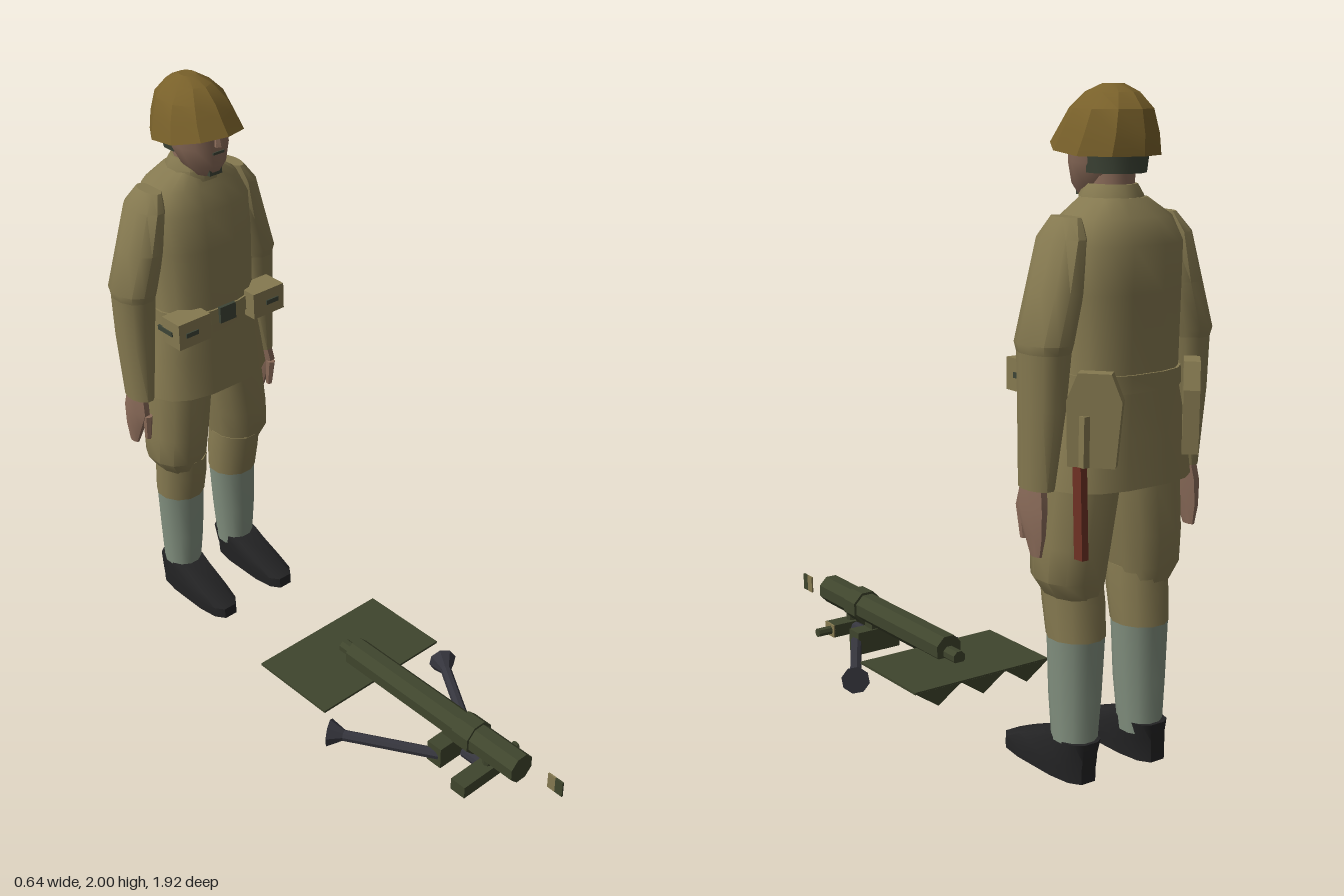
import * as THREE from 'three';
import { toCreasedNormals } from 'three/addons/utils/BufferGeometryUtils.js';
import { ConvexGeometry } from 'three/addons/geometries/ConvexGeometry.js';

const mat = (name, color) => Object.assign(new THREE.MeshStandardMaterial({ color }), { name });

export function createModel() {
  const model = new THREE.Group();
  const cloth = mat('khaki cloth', 0x857950);
  const brown = mat('helmet brown', 0x78602a);
  const skin = mat('skin', 0x8a6b59);
  const dark = mat('dark hair green', 0x3d4436);
  const wrap = mat('leg wrap grey green', 0x82907f);
  const black = mat('shoe black', 0x232324);
  const red = mat('scabbard red', 0x6e3124);
  const green = mat('weapon green', 0x3f452d);
  const steel = mat('bipod steel', 0x35353d);

  const add = (parent, name, geometry, material, x = 0, y = 0, z = 0) => {
    const mesh = new THREE.Mesh(geometry, material);
    mesh.name = name;
    mesh.position.set(x, y, z);
    parent.add(mesh);
    return mesh;
  };
  const box = (parent, name, material, w, h, d, x, y, z) =>
    add(parent, name, new THREE.BoxGeometry(w, h, d), material, x, y, z);

  // Closed skin over rings [y, cx, cz, rx, rz, frontLift]; a low power makes boxy sections
  const loft = (parent, name, material, rings, sides = 12, power = 1, crease = 0.7) => {
    const pos = [], index = [], bend = v => Math.sign(v) * Math.abs(v) ** power;
    for (const [y, cx, cz, rx, rz, lift = 0] of rings) {
      for (let j = 0; j < sides; j++) {
        const a = ((j + 0.5) / sides) * Math.PI * 2, s = Math.sin(a);
        pos.push(cx + rx * bend(Math.cos(a)), y + lift * Math.max(0, s), cz + rz * bend(s));
      }
    }
    const last = rings.length - 1, base = rings.length * sides;
    for (const r of [rings[0], rings[last]]) pos.push(r[1], r[0], r[2]);
    for (let j = 0; j < sides; j++) {
      const k = (j + 1) % sides;
      for (let i = 0; i < last; i++) {
        const a = i * sides + j, b = a + sides, c = (i + 1) * sides + k, d = i * sides + k;
        index.push(a, b, c, a, c, d);
      }
      index.push(base, j, k, base + 1, last * sides + k, last * sides + j);
    }
    const g = new THREE.BufferGeometry();
    g.setAttribute('position', new THREE.Float32BufferAttribute(pos, 3));
    g.setIndex(index);
    return add(parent, name, toCreasedNormals(g, crease), material);
  };

  // Tapered rod from point a to point b
  const rod = (parent, name, material, a, b, ra, rb, sides = 8) => {
    const p = new THREE.Vector3(...a), q = new THREE.Vector3(...b), d = q.clone().sub(p);
    const g = new THREE.CylinderGeometry(rb, ra, d.length(), sides);
    const mesh = add(parent, name, toCreasedNormals(g, 0.5), material);
    mesh.position.copy(p.add(q).multiplyScalar(0.5));
    mesh.quaternion.setFromUnitVectors(new THREE.Vector3(0, 1, 0), d.normalize());
    return mesh;
  };

  const soldier = new THREE.Group();
  soldier.name = 'soldier';
  model.add(soldier);

  // Helmet, head and face
  loft(soldier, 'helmet', brown, [
    [1.812, 0, -0.705, 0.147, 0.163, 0.035], [1.87, 0, -0.72, 0.13, 0.148, 0.02],
    [1.935, 0, -0.728, 0.106, 0.127], [1.978, 0, -0.732, 0.064, 0.085], [2, 0, -0.735, 0.026, 0.034],
  ], 10, 1, 0.45);
  loft(soldier, 'head', skin, [
    [1.695, 0, -0.67, 0.042, 0.05], [1.73, 0, -0.682, 0.07, 0.082],
    [1.79, 0, -0.7, 0.092, 0.105], [1.87, 0, -0.712, 0.098, 0.115],
  ]);
  loft(soldier, 'neck', skin, [[1.66, 0, -0.735, 0.06, 0.065], [1.8, 0, -0.735, 0.06, 0.07]]);
  loft(soldier, 'hair', dark, [[1.765, 0, -0.75, 0.085, 0.085], [1.86, 0, -0.748, 0.097, 0.097]]);
  loft(soldier, 'nose', skin, [
    [1.8, 0, -0.597, 0.017, 0.016], [1.815, 0, -0.598, 0.014, 0.014], [1.86, 0, -0.605, 0.007, 0.01],
  ], 6);
  box(soldier, 'mouth', dark, 0.045, 0.008, 0.008, 0, 1.778, -0.599);
  box(soldier, 'chinBeard', dark, 0.05, 0.022, 0.03, 0, 1.708, -0.63);
  for (const s of [1, -1]) {
    box(soldier, 'eye', dark, 0.038, 0.022, 0.009, s * 0.042, 1.852, -0.604).rotation.y = s * 0.2;
  }

  // Tunic with collar and flared skirt
  loft(soldier, 'tunic', cloth, [
    [0.92, 0, -0.755, 0.236, 0.163], [1.06, 0, -0.755, 0.215, 0.155], [1.2, 0, -0.75, 0.183, 0.15],
    [1.45, 0, -0.75, 0.187, 0.151], [1.58, 0, -0.755, 0.187, 0.146], [1.65, 0, -0.755, 0.158, 0.115],
    [1.7, 0, -0.745, 0.085, 0.085],
  ], 16, 0.75);
  loft(soldier, 'collar', cloth, [
    [1.67, 0, -0.738, 0.092, 0.095], [1.705, 0, -0.735, 0.086, 0.092], [1.735, 0, -0.735, 0.068, 0.076],
  ], 12);

  // Belt, buckle and front pouches
  loft(soldier, 'belt', cloth, [[1.185, 0, -0.75, 0.194, 0.158], [1.235, 0, -0.75, 0.19, 0.157]], 16, 0.75);
  box(soldier, 'buckle', dark, 0.065, 0.058, 0.012, 0, 1.212, -0.59);

  for (const s of [1, -1]) {
    const side = s > 0 ? 'left' : 'right';
    const part = (name, material, rings, ...rest) =>
      loft(soldier, side + name, material, rings.map(([y, x, ...r]) => [y, s * x, ...r]), ...rest);

    box(soldier, side + 'Pouch', cloth, 0.13, 0.092, 0.09, s * 0.157, 1.207, -0.607);
    box(soldier, side + 'PouchStud', dark, 0.05, 0.016, 0.008, s * 0.17, 1.207, -0.561);
    box(soldier, side + 'PouchClip', dark, 0.008, 0.016, 0.075, s * 0.222, 1.207, -0.635);

    // Arm
    part('UpperArm', cloth, [
      [1.3, 0.25, -0.765, 0.066, 0.086], [1.325, 0.25, -0.765, 0.072, 0.093], [1.46, 0.213, -0.76, 0.068, 0.094],
      [1.6, 0.186, -0.755, 0.052, 0.09], [1.655, 0.168, -0.75, 0.026, 0.058],
    ]);
    part('Forearm', cloth, [
      [0.925, 0.262, -0.755, 0.04, 0.064], [1.15, 0.255, -0.765, 0.056, 0.08], [1.32, 0.249, -0.765, 0.067, 0.087],
    ]);
    part('Hand', skin, [
      [0.74, 0.28, -0.78, 0.01, 0.022], [0.8, 0.279, -0.772, 0.018, 0.043],
      [0.875, 0.277, -0.755, 0.026, 0.062], [0.95, 0.27, -0.755, 0.027, 0.046],
    ], 8);
    part('Thumb', skin, [[0.775, 0.27, -0.712, 0.01, 0.012], [0.87, 0.272, -0.703, 0.015, 0.02]], 6);

    // Leg
    part('Breeches', cloth, [
      [0.6, 0.125, -0.745, 0.076, 0.092], [0.65, 0.137, -0.742, 0.098, 0.108], [0.75, 0.13, -0.742, 0.102, 0.12],
      [0.9, 0.112, -0.745, 0.108, 0.122], [0.97, 0.11, -0.745, 0.106, 0.122],
    ], 12, 0.9);
    part('Knee', cloth, [
      [0.475, 0.118, -0.758, 0.084, 0.087], [0.57, 0.118, -0.745, 0.085, 0.097], [0.645, 0.12, -0.735, 0.082, 0.1],
    ]);
    part('LegWrap', wrap, [
      [0.14, 0.123, -0.765, 0.062, 0.068], [0.3, 0.12, -0.76, 0.073, 0.08], [0.48, 0.118, -0.758, 0.082, 0.085],
    ]);
    part('Shoe', black, [
      [0.057, 0.13, -0.66, 0.06, 0.184], [0.095, 0.13, -0.661, 0.062, 0.182],
      [0.125, 0.128, -0.695, 0.062, 0.15], [0.175, 0.125, -0.758, 0.06, 0.087],
    ], 12, 0.65);

    // Rear bag on the belt
    const bag = new THREE.Shape([
      [-0.07, -0.13], [0.06, -0.13], [0.075, 0.05], [0.045, 0.125], [-0.045, 0.125], [-0.075, 0.05],
    ].map(p => new THREE.Vector2(...p)));
    const bagGeo = new THREE.ExtrudeGeometry(bag, { depth: 0.045, bevelEnabled: false });
    add(soldier, side + 'RearBag', bagGeo, cloth, s * 0.155, 1.13, -0.875).rotation.y = s * 2.3;
  }

  // Bayonet scabbard on the left hip
  const scabbard = box(soldier, 'scabbard', red, 0.022, 0.29, 0.035, 0.2, 0.885, -0.869);
  scabbard.rotation.x = 0.05;
  box(soldier, 'scabbardFrog', cloth, 0.03, 0.14, 0.045, 0.2, 1.07, -0.875);

  // Mortar lying on its bipod in front
  const mortar = new THREE.Group();
  mortar.name = 'mortar';
  mortar.position.x = -0.005;
  model.add(mortar);
  const tube = (name, z0, z1, r, y = 0.148) =>
    rod(mortar, name, green, [0, y, z0], [0, y, z1], r, r).rotateY(Math.PI / 8);
  tube('barrel', 0.05, 0.815, 0.051);
  tube('breech', -0.01, 0.06, 0.024, 0.138);
  tube('barrelRing', 0.56, 0.63, 0.06);

  // Base plate with three wedge spades growing toward the rear
  box(mortar, 'basePlate', green, 0.525, 0.008, 0.325, 0, 0.119, 0.018);
  for (const x of [-0.175, 0, 0.175]) {
    const w = 0.0875, pts = [[x - w, 0.118, -0.145], [x + w, 0.118, -0.145], [x, 0.06, -0.145],
      [x - w, 0.118, 0.18], [x + w, 0.118, 0.18]].map(p => new THREE.Vector3(...p));
    add(mortar, 'baseSpade', new ConvexGeometry(pts), green);
  }

  // Bipod
  box(mortar, 'bipodCollar', green, 0.17, 0.08, 0.06, 0, 0.05, 0.515);
  box(mortar, 'collarPost', green, 0.05, 0.06, 0.045, 0, 0.1, 0.515);
  for (const s of [1, -1]) {
    rod(mortar, 'bipodLeg', steel, [s * 0.07, 0.05, 0.525], [s * 0.25, 0.05, 0.235], 0.019, 0.019);
    rod(mortar, 'bipodFoot', steel, [s * 0.24, 0.05, 0.25], [s * 0.267, 0.05, 0.207], 0.019, 0.048);
  }

  // Traverse gear, its handle and the sight plate
  box(mortar, 'traverseBox', green, 0.225, 0.045, 0.06, -0.025, 0.05, 0.673);
  rod(mortar, 'traverseHandle', green, [0.08, 0.05, 0.667], [0.145, 0.05, 0.667], 0.016, 0.016);
  box(mortar, 'traverseEnd', cloth, 0.006, 0.045, 0.06, 0.089, 0.05, 0.673);
  rod(mortar, 'gearPost', green, [0, 0.05, 0.673], [0, 0.12, 0.673], 0.018, 0.018);
  rod(mortar, 'gearShaft', steel, [0, 0.05, 0.57], [0, 0.05, 0.65], 0.02, 0.02);
  box(mortar, 'sightPlateFront', green, 0.006, 0.058, 0.03, 0.03, 0.143, 0.945);
  box(mortar, 'sightPlateRear', cloth, 0.006, 0.058, 0.03, 0.03, 0.143, 0.915);

  return model;
}
